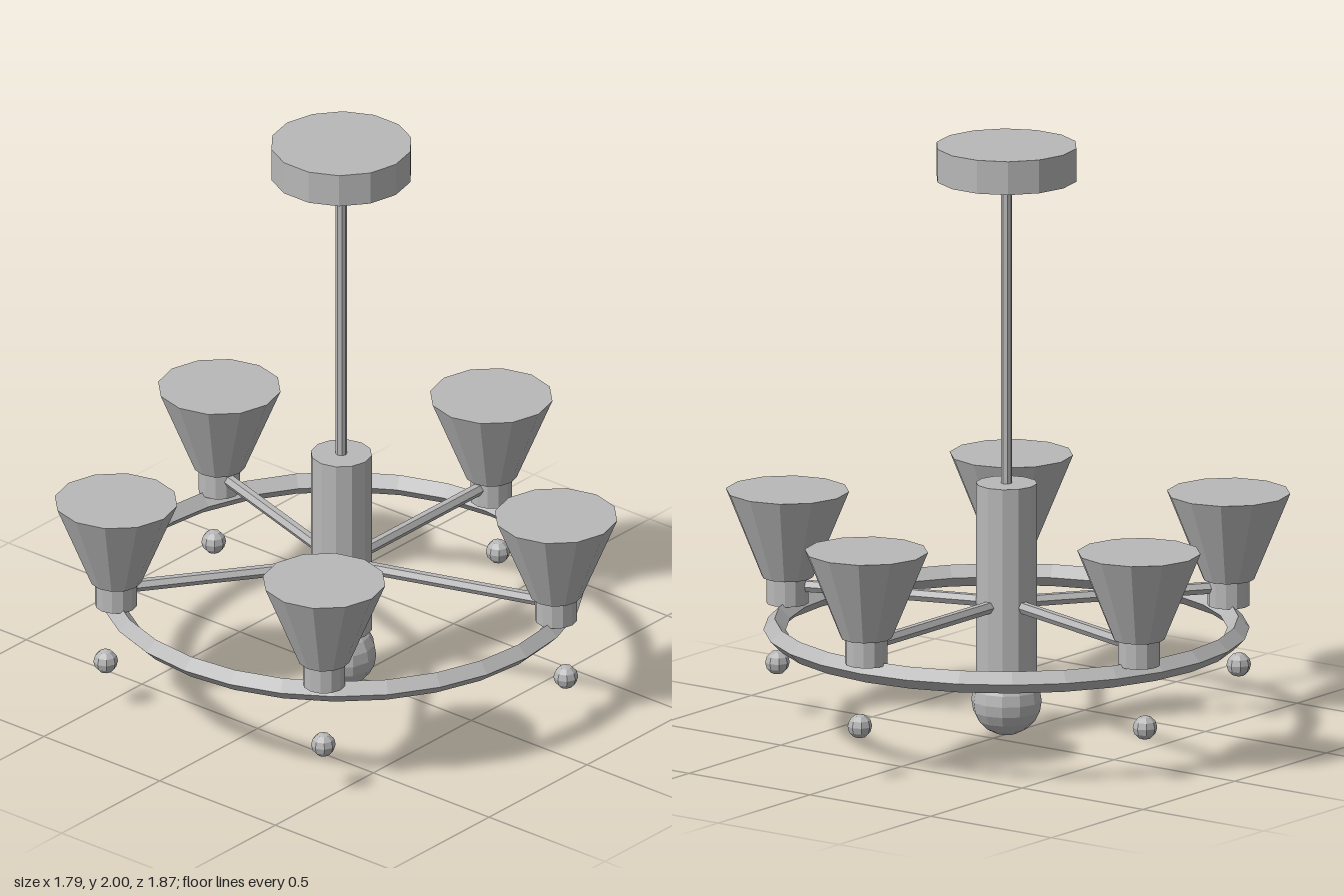
import * as THREE from 'three';

export function createModel() {
  const model = new THREE.Group();
  model.name = 'chandelier';
  const grey = new THREE.MeshStandardMaterial({ color: 0xb8b8b8, flatShading: true });
  grey.name = 'plain grey';

  const body = new THREE.Group();
  body.name = 'fixture';
  body.position.x = -0.073;
  model.add(body);

  const add = (name, geometry, x, y, z, parent = body) => {
    const mesh = new THREE.Mesh(geometry, grey);
    mesh.name = name;
    mesh.position.set(x, y, z);
    parent.add(mesh);
    return mesh;
  };
  // Upright cylinder or cone between two heights
  const column = (name, rTop, rBottom, y0, y1, sides, x = 0, z = 0, parent = body) =>
    add(name, new THREE.CylinderGeometry(rTop, rBottom, y1 - y0, sides), x, (y0 + y1) / 2, z, parent);

  // Ceiling plate, rod, hub and the ball beneath it
  column('ceilingPlate', 0.235, 0.235, 1.887, 2, 14);
  column('rod', 0.019, 0.019, 0.84, 1.9, 8);
  column('hub', 0.102, 0.102, 0.21, 0.855, 12);
  add('finialBall', new THREE.SphereGeometry(0.117, 12, 10), 0, 0.119, 0);

  // Diamond-section ring carrying the lamps
  const ring = new THREE.TorusGeometry(0.765, 0.037, 4, 28);
  ring.rotateX(Math.PI / 2);
  add('ring', ring, 0, 0.361, 0);

  // Five lamps, each with its arm, cup, shade and hanging bead
  const R = 0.765;
  for (let i = 0; i < 5; i++) {
    const a = (i * Math.PI * 2) / 5;
    const c = Math.cos(a), s = Math.sin(a);
    const lamp = new THREE.Group();
    lamp.name = `lamp${i + 1}`;
    body.add(lamp);

    const armGeometry = new THREE.CylinderGeometry(0.021, 0.021, 0.7, 6);
    armGeometry.rotateZ(Math.PI / 2);
    add('arm', armGeometry, c * 0.4, 0.45, s * 0.4, lamp).rotation.y = -a;

    column('cup', 0.07, 0.07, 0.388, 0.48, 12, c * R, s * R, lamp);
    column('shade', 0.205, 0.085, 0.477, 0.77, 12, c * R, s * R, lamp);
    add('bead', new THREE.SphereGeometry(0.041, 8, 6), c * 0.8, 0.183, s * 0.8, lamp);
  }
  return model;
}
